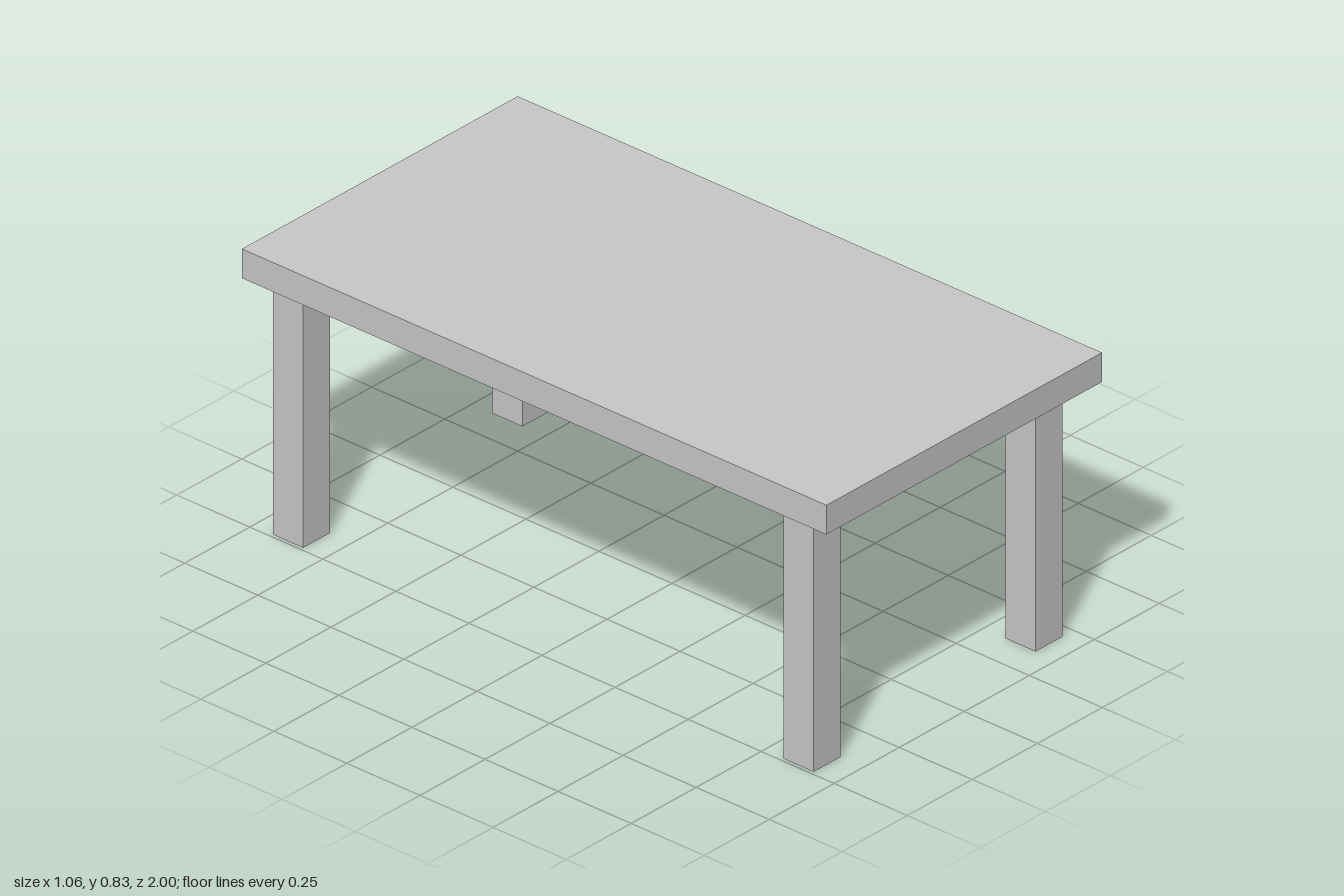
import * as THREE from 'three';

export function createModel() {
  const model = new THREE.Group();
  model.name = 'table';
  const grey = new THREE.MeshStandardMaterial({ color: 0xc8c8c8 });
  grey.name = 'light grey';

  const height = 0.83, legHeight = 0.744, legWidth = 0.103;

  function addBox(name, w, h, d, x, y, z) {
    const mesh = new THREE.Mesh(new THREE.BoxGeometry(w, h, d), grey);
    mesh.name = name;
    mesh.position.set(x, y + h / 2, z);
    model.add(mesh);
  }

  // Slab top
  addBox('tableTop', 1.06, height - legHeight, 2, 0, legHeight, 0);

  // Square legs, set slightly unevenly under the top
  const legs = [
    ['frontLeftLeg', 0.405, 0.878],
    ['frontRightLeg', -0.438, 0.869],
    ['backLeftLeg', 0.405, -0.878],
    ['backRightLeg', -0.438, -0.878],
  ];
  for (const [name, x, z] of legs) addBox(name, legWidth, legHeight, legWidth, x, 0, z);

  return model;
}
